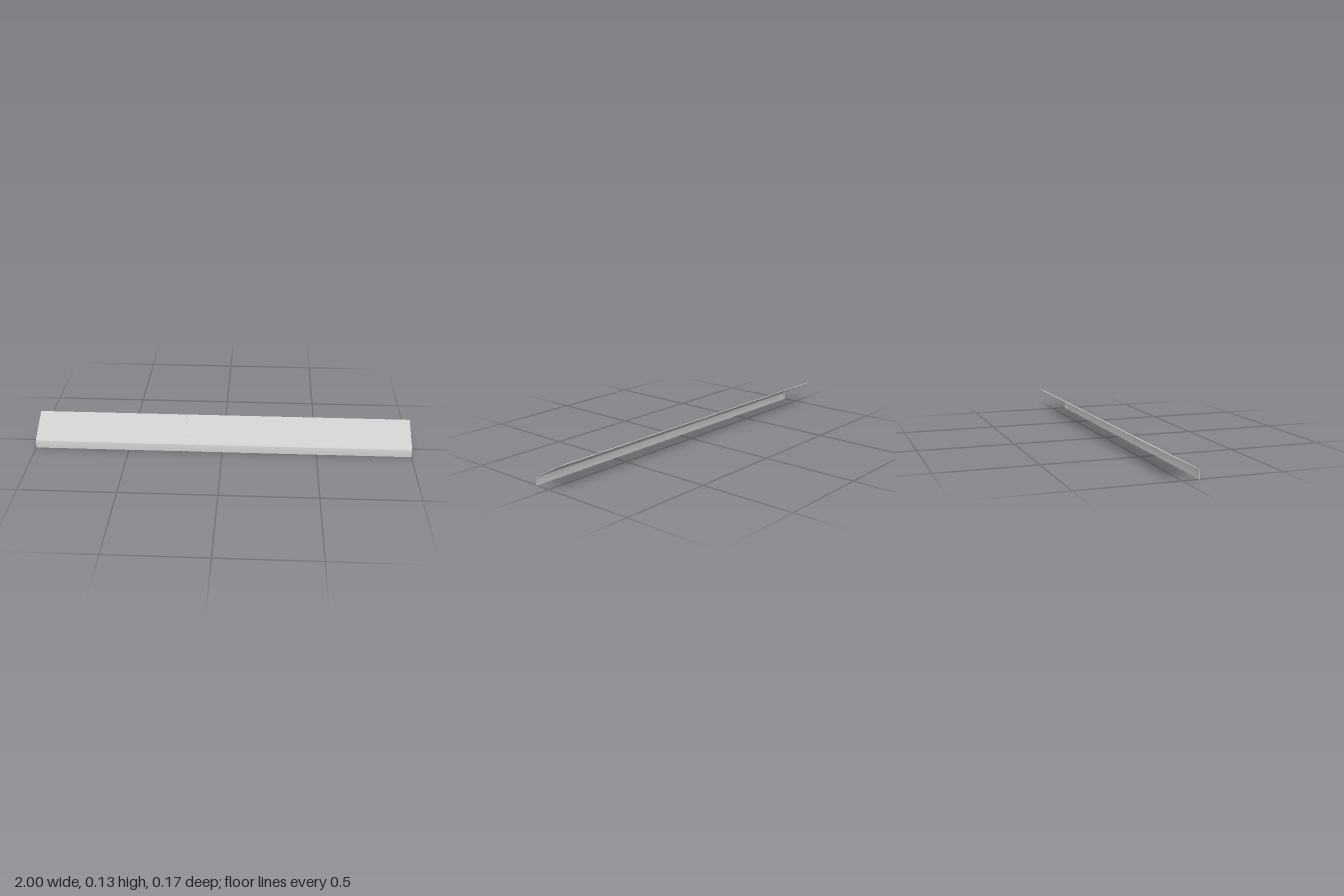
import * as THREE from 'three';
import { toCreasedNormals } from 'three/addons/utils/BufferGeometryUtils.js';

const SLOPE = 0.493;            // pitch of the upper leaf, radians
const RADIUS = 0.015;           // outer bend radius
const CENTRE = [0.07, 0.0355];  // bend centre as (z, y)
const LEAF = 0.181;             // length of the sloping leaf beyond the bend
const BORDER = 0.017;           // flat margin along the back edge
const THICK = 0.003;
const RISE = 0.0015;            // how far the pressed panels stand proud

// Points (z, y) along the bent sheet at a given depth below the outer face
function outline(depth, from, to) {
  const r = RADIUS - depth, end = Math.PI / 2 - SLOPE, pts = [];
  if (from === 0) {
    pts.push(new THREE.Vector2(CENTRE[0] + r, 0));
    for (let i = 0; i <= 8; i++) {
      const a = end * i / 8;
      pts.push(new THREE.Vector2(CENTRE[0] + r * Math.cos(a), CENTRE[1] + r * Math.sin(a)));
    }
  }
  const along = s => new THREE.Vector2(
    CENTRE[0] + r * Math.cos(end) - s * Math.cos(SLOPE),
    CENTRE[1] + r * Math.sin(end) + s * Math.sin(SLOPE));
  if (from > 0) pts.push(along(from));
  pts.push(along(to));
  return pts;
}

// Sheet section extruded along x between x0 and x1
function sheet(name, material, x0, x1, depth, from, to) {
  const shape = new THREE.Shape([
    ...outline(depth, from, to),
    ...outline(depth + THICK, from, to).reverse(),
  ]);
  const geo = new THREE.ExtrudeGeometry(shape, { depth: x1 - x0, bevelEnabled: false });
  geo.rotateY(-Math.PI / 2).translate(x1, 0, 0);
  const mesh = new THREE.Mesh(toCreasedNormals(geo, 0.4), material);
  mesh.name = name;
  return mesh;
}

export function createModel() {
  const group = new THREE.Group();
  group.name = 'bentFlashing';
  const grey = new THREE.MeshStandardMaterial({ color: 0xcccccc });

  // Flat bands at both ends and between the panels
  for (const [name, x0, x1] of [['rightEndBand', -1, -0.96], ['middleBand', -0.2, -0.14], ['leftEndBand', 0.96, 1]])
    group.add(sheet(name, grey, x0, x1, RISE, 0, LEAF));

  // Pressed panels, each with a flat margin behind it
  for (const [side, x0, x1] of [['right', -0.96, -0.2], ['left', -0.14, 0.96]]) {
    group.add(sheet(side + 'Panel', grey, x0, x1, 0, 0, LEAF - BORDER));
    group.add(sheet(side + 'BackMargin', grey, x0, x1, RISE, LEAF - BORDER, LEAF));
  }
  return group;
}
